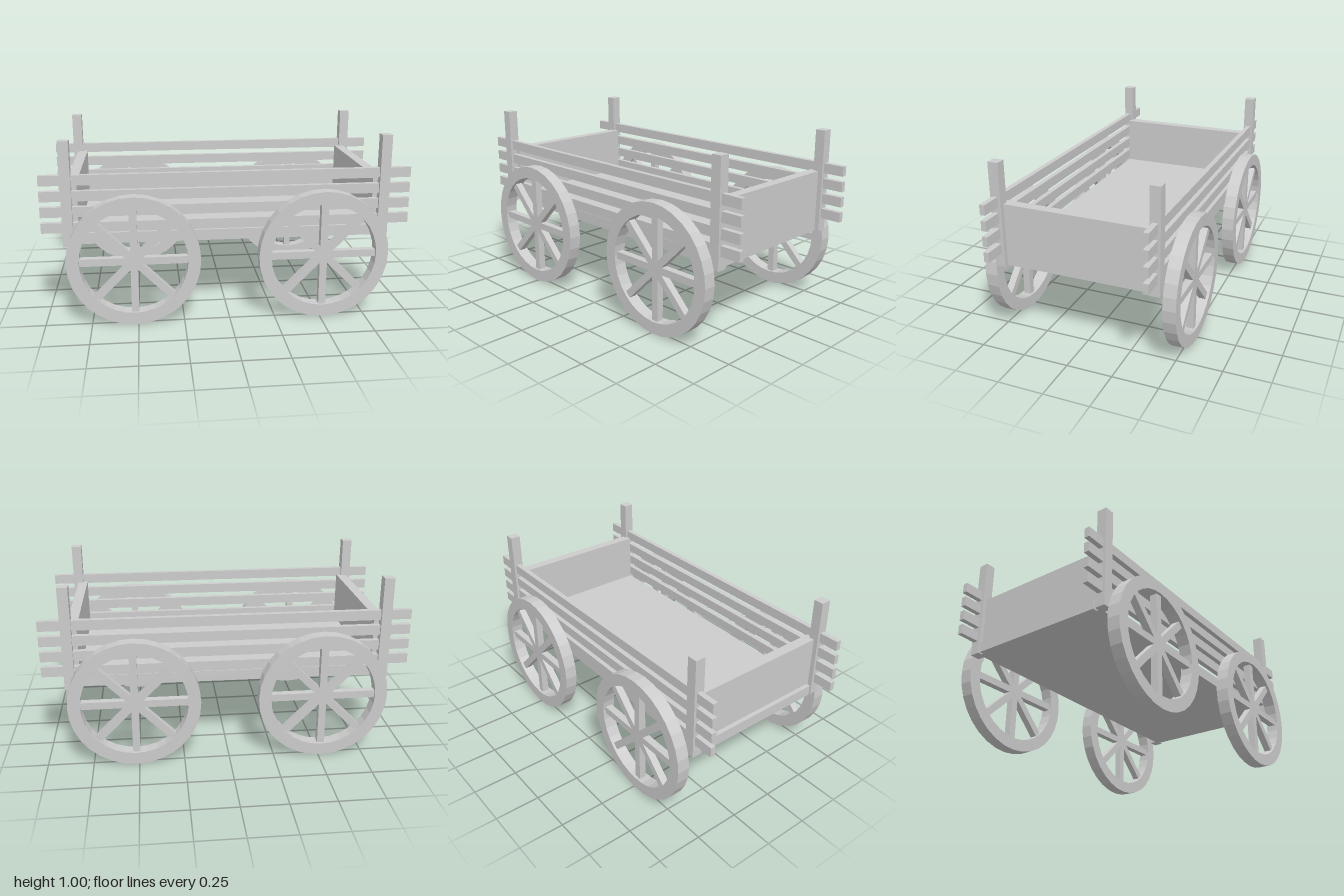
import * as THREE from 'three';

const material = new THREE.MeshStandardMaterial({ color: 0xcccccc, flatShading: true });

// Box given by its extents along each axis
function box(name, [x0, x1], [y0, y1], [z0, z1]) {
  const mesh = new THREE.Mesh(new THREE.BoxGeometry(x1 - x0, y1 - y0, z1 - z0), material);
  mesh.position.set((x0 + x1) / 2, (y0 + y1) / 2, (z0 + z1) / 2);
  mesh.name = name;
  return mesh;
}

// Wheel in the xy plane: square-section rim and four full-width bars as eight spokes
function createWheel() {
  const wheel = new THREE.Group();
  wheel.name = 'wheel';
  const outer = 0.357, inner = 0.289, half = 0.035;
  const profile = [
    [inner, -half], [outer, -half], [outer, half], [inner, half], [inner, -half],
  ].map(([r, h]) => new THREE.Vector2(r, h));
  const rim = new THREE.Mesh(new THREE.LatheGeometry(profile, 32), material);
  rim.name = 'rim';
  rim.rotation.x = Math.PI / 2;
  wheel.add(rim);

  for (let i = 0; i < 4; i++) {
    const spoke = new THREE.Mesh(new THREE.BoxGeometry(2 * inner + 0.02, 0.04, 0.04), material);
    spoke.name = 'spoke';
    spoke.rotation.z = (i * Math.PI) / 4;
    wheel.add(spoke);
  }
  return wheel;
}

export function createModel() {
  const cart = new THREE.Group();
  cart.name = 'cart';

  // Bed with a ledge at one end, and the two end boards
  cart.add(box('floor', [-0.862, 0.856], [0.43, 0.49], [-0.416, 0.416]));
  cart.add(box('endLedge', [-0.886, -0.862], [0.43, 0.49], [-0.39, 0.39]));
  cart.add(box('endBoard', [-0.862, -0.804], [0.49, 0.772], [-0.416, 0.416]));
  cart.add(box('endBoard', [0.8, 0.856], [0.49, 0.772], [-0.416, 0.416]));

  for (const side of [-1, 1]) {
    const span = (a, b) => (side > 0 ? [a, b] : [-b, -a]);

    // Side slats running through the posts
    for (let i = 0; i < 4; i++) {
      const y = 0.505 + i * 0.086;
      cart.add(box('sideSlat', [-1, 1], [y, y + 0.055], span(0.416, 0.445)));
    }

    // Corner posts
    cart.add(box('cornerPost', [-0.887, -0.831], [0.43, 1], span(0.401, 0.458)));
    cart.add(box('cornerPost', [0.826, 0.882], [0.43, 1], span(0.401, 0.458)));

    // Wheels
    for (const x of [-0.515, 0.513]) {
      const wheel = createWheel();
      wheel.position.set(x, 0.358, side * 0.5);
      cart.add(wheel);
    }
  }
  return cart;
}
